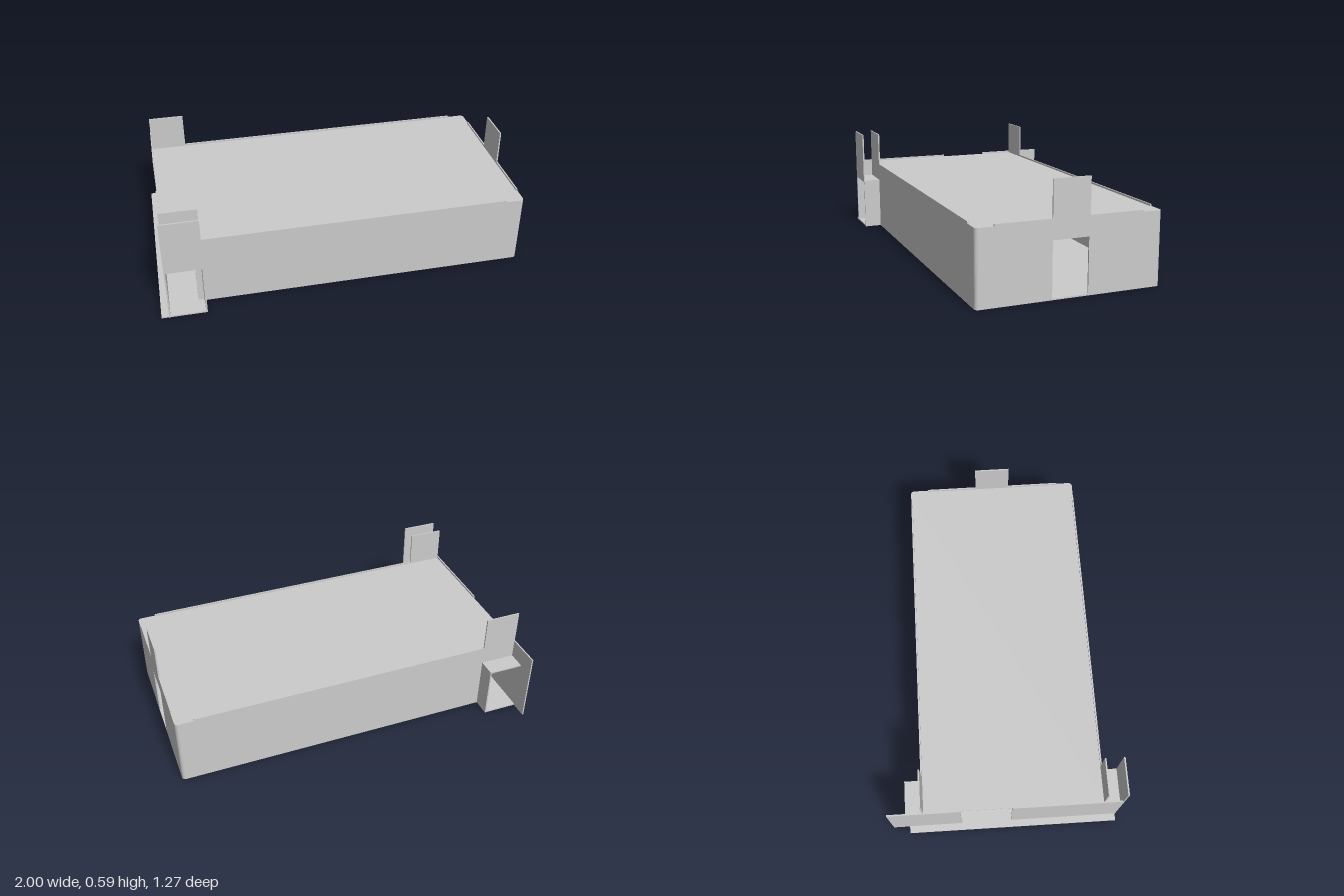
import * as THREE from 'three';

const T = 0.008;                       // sheet thickness
const FRONT = 0.535, BACK = -0.448;    // outer faces of the long walls
const R = 0.02;                        // corner radius

export function createModel() {
  const group = new THREE.Group();
  const material = new THREE.MeshStandardMaterial({ color: 0xcccccc, side: THREE.DoubleSide });

  // Flat plate from a 2D outline. at = the plate's lower coordinate on its normal axis.
  // normal z: outline (x, y); normal x: outline (z, y); normal y: outline (x, z)
  function plate(name, normal, at, outline) {
    const shape = Array.isArray(outline)
      ? new THREE.Shape(outline.map(([a, b]) => new THREE.Vector2(a, b)))
      : outline;
    const geo = new THREE.ExtrudeGeometry(shape, { depth: T, bevelEnabled: false, curveSegments: 6 });
    if (normal === 'z') geo.translate(0, 0, at);
    if (normal === 'x') geo.rotateY(-Math.PI / 2).translate(at + T, 0, 0);
    if (normal === 'y') geo.rotateX(Math.PI / 2).translate(0, at + T, 0);
    const mesh = new THREE.Mesh(geo, material);
    mesh.name = name;
    group.add(mesh);
  }
  const rect = (a0, b0, a1, b1) => [[a0, b0], [a1, b0], [a1, b1], [a0, b1]];

  // Outline with two rounded corners at the +x end, closed by the given points at the -x end
  function roundedEnd(tail) {
    const s = new THREE.Shape();
    s.moveTo(1 - R, BACK);
    s.absarc(1 - R, BACK + R, R, -Math.PI / 2, 0, false);
    s.absarc(1 - R, FRONT - R, R, 0, Math.PI / 2, false);
    tail.forEach(([x, z]) => s.lineTo(x, z));
    s.closePath();
    return s;
  }

  // Floor widens at the -x end under the side brackets
  plate('floor', 'y', 0, roundedEnd([
    [-0.76, FRONT], [-0.76, 0.632], [-1, 0.632], [-1, -0.545], [-0.76, -0.545], [-0.76, BACK],
  ]));
  plate('lid', 'y', 0.382, roundedEnd([[-0.955, FRONT], [-0.955, BACK]]));

  // Long walls: cut away low at the -x end, with an upright tab above
  for (const [name, z] of [['frontWall', FRONT - T], ['backWall', BACK]]) {
    plate(name, 'z', z, [
      [-0.8, 0], [1 - R, 0], [1 - R, 0.39], [0.9, 0.39], [0.9, 0.4],
      [-0.76, 0.4], [-0.76, 0.59], [-0.955, 0.59], [-0.955, 0.292], [-0.8, 0.292],
    ]);
  }

  // +x end wall with a doorway and a tab on top
  plate('endWall', 'x', 1 - T, [
    [BACK + R, 0], [-0.047, 0], [-0.047, 0.295], [0.145, 0.295], [0.145, 0], [FRONT - R, 0],
    [FRONT - R, 0.39], [0.44, 0.39], [0.44, 0.4], [0.145, 0.4], [0.145, 0.59],
    [-0.053, 0.59], [-0.053, 0.4], [-0.343, 0.4], [-0.343, 0.39], [BACK + R, 0.39],
  ]);

  // Rounded vertical corners joining the long walls to the end wall
  for (const [name, z, start] of [['frontCorner', FRONT - R, 0], ['backCorner', BACK + R, -Math.PI / 2]]) {
    const s = new THREE.Shape();
    s.absarc(1 - R, z, R, start, start + Math.PI / 2, false);
    s.absarc(1 - R, z, R - T, start + Math.PI / 2, start, true);
    s.closePath();
    const geo = new THREE.ExtrudeGeometry(s, { depth: 0.39, bevelEnabled: false, curveSegments: 6 });
    geo.rotateX(Math.PI / 2).translate(0, 0.39, 0);
    const mesh = new THREE.Mesh(geo, material);
    mesh.name = name;
    group.add(mesh);
  }

  // -x end wall in two panels with a full-height gap between them
  plate('rearPanelBack', 'x', -0.961, rect(-0.637, 0, -0.245, 0.4));
  plate('rearPanelFront', 'x', -0.961, rect(0.035, 0, 0.635, 0.4));

  // Side brackets: shelf plus a vertical support
  for (const [side, z0, z1] of [['front', FRONT - T, 0.632], ['back', -0.545, BACK + T]]) {
    plate(side + 'BracketShelf', 'y', 0.29, rect(-0.957, z0, -0.76, z1));
    plate(side + 'BracketSupport', 'x', -0.76 - T, rect(z0, 0, z1, 0.298));
  }
  plate('frontOuterTab', 'z', 0.627, rect(-0.961, 0.29, -0.76, 0.59));

  return group;
}
